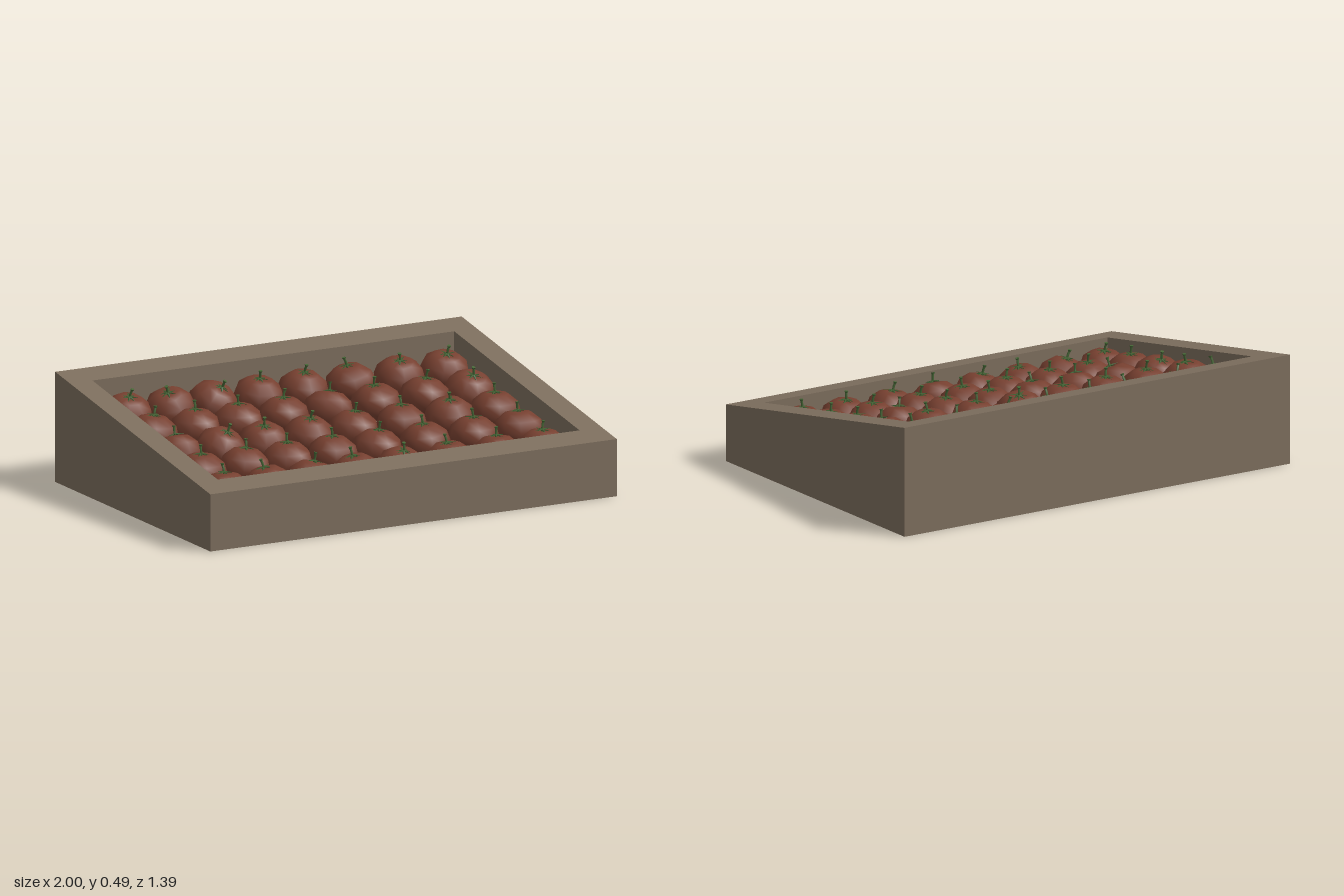
import * as THREE from 'three';
import { mergeGeometries } from 'three/addons/utils/BufferGeometryUtils.js';

const wood = new THREE.MeshStandardMaterial({ color: 0x7e6f5e });
wood.name = 'brown wood';
const red = new THREE.MeshStandardMaterial({ color: 0x774030 });
red.name = 'tomato red';
const green = new THREE.MeshStandardMaterial({ color: 0x466636 });
green.name = 'stem green';

// Height of the sloping rim at depth z
const rim = (z) => 0.372 - 0.17 * z;

function seeded(seed) {
  return () => {
    seed = (seed * 16807) % 2147483647;
    return seed / 2147483647;
  };
}

// Move the upper vertices of a unit-high solid onto the slope
function slopeTop(geometry, drop) {
  const p = geometry.attributes.position;
  for (let i = 0; i < p.count; i++) {
    p.setY(i, p.getY(i) > 0.5 ? rim(p.getZ(i)) - drop : 0);
  }
  geometry.computeVertexNormals();
  return geometry;
}

function rectangle(Type, x, z) {
  return new Type([[-x, -z], [x, -z], [x, z], [-x, z]].map(([a, b]) => new THREE.Vector2(a, b)));
}

function createCrate() {
  const crate = new THREE.Group();
  crate.name = 'crate';
  // Four walls with a wedge-shaped side profile
  const outline = rectangle(THREE.Shape, 1, 0.693);
  outline.holes.push(rectangle(THREE.Path, 0.89, 0.56));
  const walls = new THREE.ExtrudeGeometry(outline, { depth: 1, bevelEnabled: false });
  walls.rotateX(-Math.PI / 2);
  const wallMesh = new THREE.Mesh(slopeTop(walls, 0), wood);
  wallMesh.name = 'crateWalls';
  // Solid floor, parallel to the rim
  const floor = new THREE.BoxGeometry(1.78, 1, 1.12).translate(0, 0.5, 0);
  const floorMesh = new THREE.Mesh(slopeTop(floor, 0.155), wood);
  floorMesh.name = 'crateFloor';
  crate.add(wallMesh, floorMesh);
  return crate;
}

// Squat fruit body with a dimpled top
function bodyGeometry() {
  const profile = [[0, -0.085], [0.06, -0.08], [0.1, -0.04], [0.113, 0.005],
    [0.1, 0.05], [0.06, 0.083], [0.025, 0.088], [0, 0.082]];
  return new THREE.LatheGeometry(profile.map(([r, y]) => new THREE.Vector2(r, y)), 9);
}

// Star of narrow leaves around a short leaning stalk
function stemGeometry() {
  const parts = [];
  for (let i = 0; i < 7; i++) {
    const leaf = new THREE.ConeGeometry(0.008, 0.04, 4);
    leaf.scale(1, 1, 0.5).translate(0, 0.02, 0);
    leaf.rotateX(Math.PI / 2 + (i % 2 ? 0.05 : 0.22));
    leaf.translate(0, 0.093, 0.002).rotateY((i / 7) * Math.PI * 2);
    parts.push(leaf);
  }
  const path = new THREE.CatmullRomCurve3([
    new THREE.Vector3(0, 0.08, 0), new THREE.Vector3(0.001, 0.105, 0), new THREE.Vector3(0.006, 0.125, 0.002),
  ]);
  parts.push(new THREE.TubeGeometry(path, 3, 0.0055, 5));
  parts.push(new THREE.CylinderGeometry(0.009, 0.006, 0.008, 6).translate(0.006, 0.126, 0.002));
  return mergeGeometries(parts);
}

// Column and row centres, and how far each stem leans from its centre [x, z] in hundredths
const columns = [-0.785, -0.573, -0.363, -0.14, 0.08, 0.315, 0.553, 0.776];
const rows = [-0.443, -0.215, 0.01, 0.222, 0.435];
const leans = [
  [0, 3, -3, 3, 3, 5, 0, 2, 0, 2, -2, 0, -1, 3, 0, 3],
  [1, 0, 0, 0, 0, 0, 0, 0, 2, -2, -1, 0, 1, 0, 0, 4],
  [0, -3, 2, 4, -1, 3, 0, 2, 1, 0, 0, 0, -1, 2, 0, 0],
  [0, 0, 1, 0, 0, 0, 0, 0, 1, 0, -1, 0, 0, 0, 0, -1],
  [0, -1, -2, -1, 2, 0, -2, 0, 0, 3, -1, 0, 0, -1, 0, 0],
];

export function createModel() {
  const model = new THREE.Group();
  model.name = 'tomatoCrate';
  model.add(createCrate());

  const body = bodyGeometry();
  const stem = stemGeometry();
  const random = seeded(4711);
  const up = new THREE.Vector3(0, 1, 0);
  rows.forEach((z, r) => columns.forEach((x, c) => {
    const tomato = new THREE.Group();
    tomato.name = 'tomato';
    const fruit = new THREE.Mesh(body, red);
    fruit.name = 'tomatoBody';
    const stalk = new THREE.Mesh(stem, green);
    stalk.name = 'tomatoStem';
    tomato.add(fruit, stalk);
    tomato.position.set(x, rim(z) - 0.122, z);
    // Lean the stem, then spin the fruit about its own axis
    const direction = new THREE.Vector3(leans[r][2 * c] / 100, 0.1, leans[r][2 * c + 1] / 100).normalize();
    tomato.quaternion.setFromUnitVectors(up, direction);
    tomato.rotateY(random() * Math.PI * 2);
    model.add(tomato);
  }));
  return model;
}
